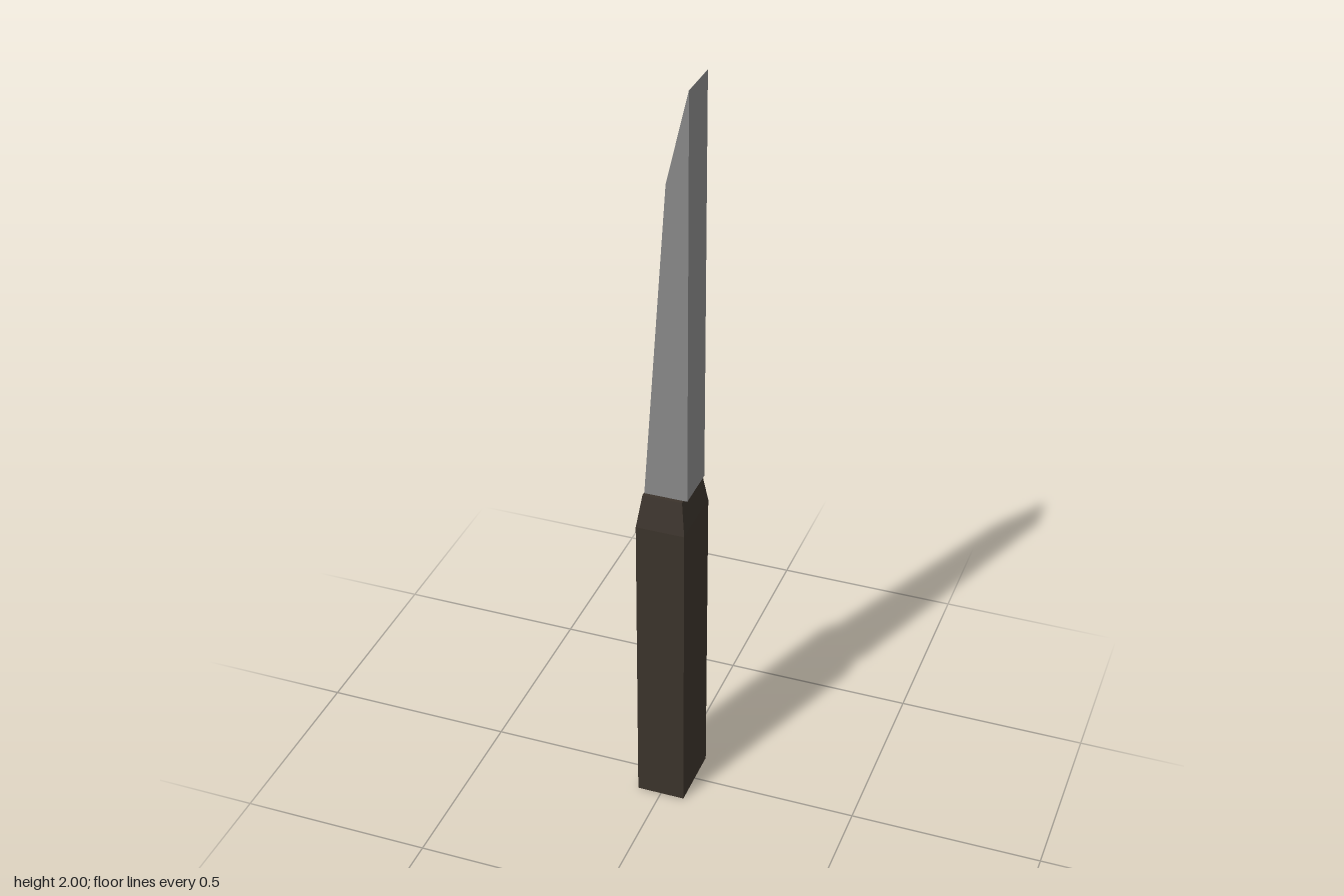
import * as THREE from 'three';

// Closed prism-like solid lofted through rectangular sections [y, x0, x1, z0, z1]
function loft(sections) {
  const pos = [];
  const quad = (a, b, c, d) => pos.push(...a, ...b, ...c, ...a, ...c, ...d);
  const rings = sections.map(([y, x0, x1, z0, z1]) => [
    [x0, y, z1], [x1, y, z1], [x1, y, z0], [x0, y, z0],
  ]);
  for (let i = 0; i < rings.length - 1; i++) {
    const lo = rings[i], hi = rings[i + 1];
    for (let k = 0; k < 4; k++) {
      const n = (k + 1) % 4;
      quad(lo[k], lo[n], hi[n], hi[k]);
    }
  }
  const b = rings[0], t = rings[rings.length - 1];
  quad(b[3], b[2], b[1], b[0]);
  quad(t[0], t[1], t[2], t[3]);
  const geo = new THREE.BufferGeometry();
  geo.setAttribute('position', new THREE.Float32BufferAttribute(pos, 3));
  geo.computeVertexNormals();
  return geo;
}

export function createModel() {
  const group = new THREE.Group();
  group.name = 'knife';

  const wood = new THREE.MeshStandardMaterial({ color: 0x3b332b });
  wood.name = 'dark wood';
  const steel = new THREE.MeshStandardMaterial({ color: 0x888888 });
  steel.name = 'grey steel';

  // Square-sided handle with a tapered shoulder
  const handle = new THREE.Mesh(loft([
    [0, -0.064, 0.063, -0.089, 0.088],
    [0.835, -0.064, 0.063, -0.089, 0.088],
    [0.922, -0.052, 0.051, -0.073, 0.071],
  ]), wood);
  handle.name = 'handle';

  // Blade: straight on the left, tapering and then bevelled to a sharp tip
  const blade = new THREE.Mesh(loft([
    [0.922, -0.051, 0.061, -0.063, 0.061],
    [1.765, 0.006, 0.061, -0.063, 0.061],
    [2, 0.0605, 0.061, -0.063, 0.061],
  ]), steel);
  blade.name = 'blade';

  group.add(handle, blade);
  return group;
}
